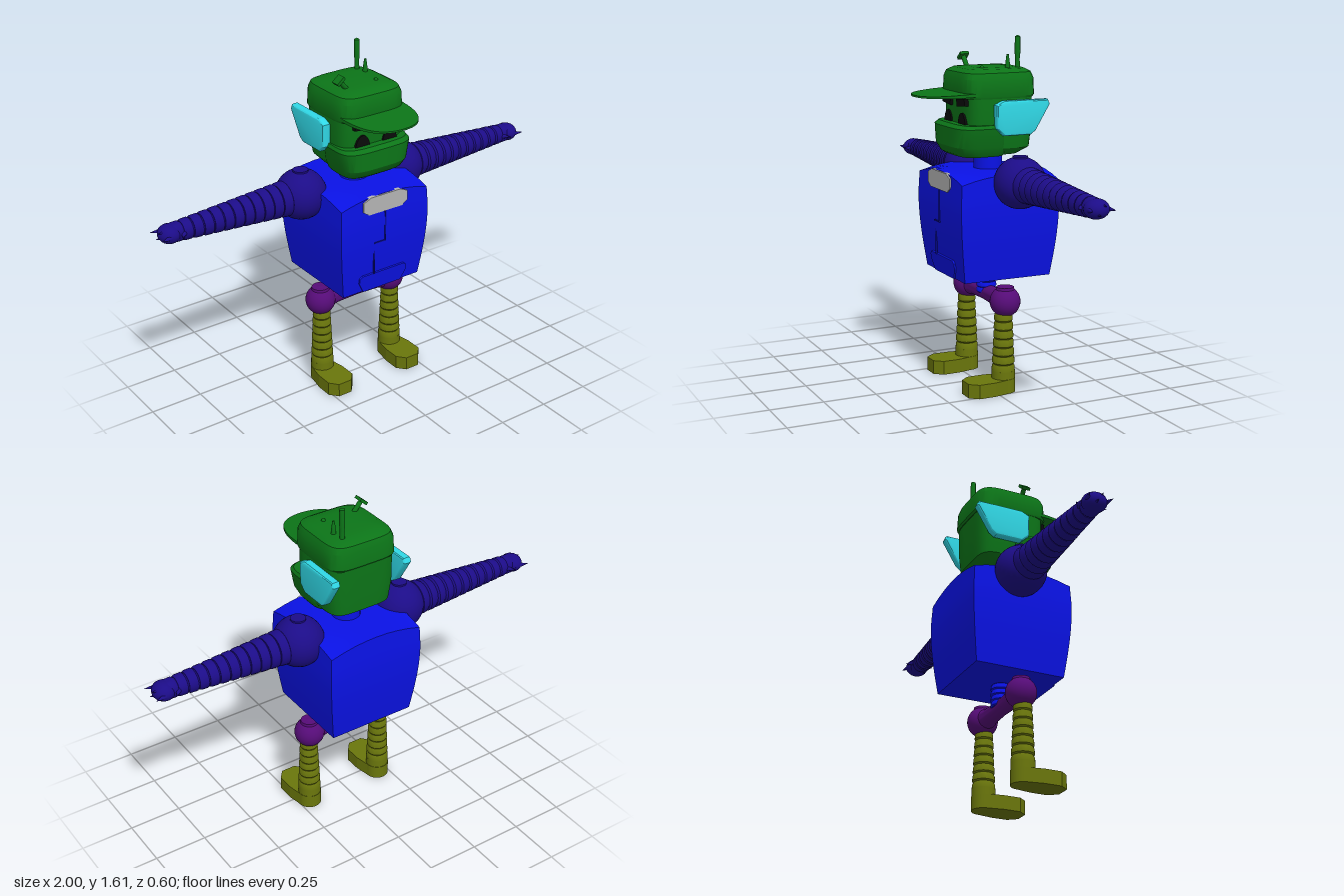
import * as THREE from 'three';
import { toCreasedNormals } from 'three/addons/utils/BufferGeometryUtils.js';

const mat = (color) => new THREE.MeshStandardMaterial({ color });
const GREEN = mat(0x0c7518), BLUE = mat(0x0a12e6), DARKBLUE = mat(0x080ca0), INDIGO = mat(0x1c0c88),
  PURPLE = mat(0x560c78), OLIVE = mat(0x6a760c), CYAN = mat(0x30d8e6), GREY = mat(0xb4b4b4), BLACK = mat(0x0a0a0a);

function add(parent, name, geometry, material, x = 0, y = 0, z = 0) {
  const m = new THREE.Mesh(geometry, material);
  m.name = name;
  m.position.set(x, y, z);
  parent.add(m);
  return m;
}

const lathe = (pts, sides = 28) => toCreasedNormals(
  new THREE.LatheGeometry(pts.map(([r, y]) => new THREE.Vector2(r, y)), sides), 0.6);

// Stack of rounded-square sections: rows of [y, halfX, zBack, zFront], bottom to top
function loft(rows, power = 5, n = 56) {
  const pos = [], idx = [];
  const put = (y, hx, z0, z1, k) => {
    for (let i = 0; i < n; i++) {
      const a = (i / n) * Math.PI * 2, c = Math.cos(a), s = Math.sin(a);
      const f = k / Math.pow(Math.abs(c) ** power + Math.abs(s) ** power, 1 / power);
      pos.push(hx * c * f, y, (z0 + z1) / 2 + ((z1 - z0) / 2) * s * f);
    }
  };
  const all = [[...rows[0], 0], ...rows.map((r) => [...r, 1]), [...rows[rows.length - 1], 0]];
  all.forEach((r) => put(...r));
  for (let j = 0; j < all.length - 1; j++) for (let i = 0; i < n; i++) {
    const a = j * n + i, b = j * n + ((i + 1) % n);
    idx.push(a, a + n, b, b, a + n, b + n);
  }
  const g = new THREE.BufferGeometry();
  g.setAttribute('position', new THREE.Float32BufferAttribute(pos, 3));
  g.setIndex(idx);
  return toCreasedNormals(g, 0.5);
}

// Flexible hose: a tapering chain of ribs along +y
function hose(length, r0, r1, ribs) {
  const pts = [[0, 0]], step = length / ribs;
  for (let i = 0; i < ribs; i++) {
    const r = r0 + ((r1 - r0) * i) / (ribs - 1), y = i * step;
    pts.push([r * 0.88, y], [r, y + step * 0.18], [r * 0.98, y + step * 0.75], [r * 0.88, y + step]);
  }
  pts.push([0, length]);
  return lathe(pts);
}

function extrude(points, depth, bevel = 0) {
  const shape = new THREE.Shape(points.map(([x, y]) => new THREE.Vector2(x, y)));
  return new THREE.ExtrudeGeometry(shape, {
    depth, bevelEnabled: bevel > 0, bevelSize: bevel, bevelThickness: bevel, bevelOffset: -bevel, bevelSegments: 3,
  });
}

// Bulging square torso with lowered top corners
function torsoGeometry() {
  const g = new THREE.BoxGeometry(2, 0.48, 2, 8, 12, 8), p = g.attributes.position;
  for (let i = 0; i < p.count; i++) {
    const t = p.getY(i) / 0.48 + 0.5;
    const w = 0.212 + 0.03 * Math.sin(Math.min(1, t / 0.72) * Math.PI / 2) - 0.02 * Math.max(0, t - 0.75);
    const corner = (p.getX(i) * p.getZ(i)) ** 2;
    p.setXYZ(i, p.getX(i) * w * 0.99, 0.525 + 0.48 * t - 0.035 * corner * t ** 4, p.getZ(i) * w);
  }
  return toCreasedNormals(g, 0.5);
}

function buildTorso(root) {
  const g = new THREE.Group();
  g.name = 'torso';
  root.add(g);
  add(g, 'torsoShell', torsoGeometry(), BLUE, 0, 0, -0.06);
  add(g, 'neck', new THREE.CylinderGeometry(0.065, 0.065, 0.12, 28), BLUE, 0, 1.04, -0.06);
  add(g, 'waist', hose(0.13, 0.046, 0.046, 5), BLUE, 0, 0.42, -0.055);
  add(g, 'collarPlate', extrude([[-0.12, 0.94], [-0.09, 0.92], [0.09, 0.92], [0.12, 0.94], [0.12, 0.985],
    [0.08, 1.003], [-0.08, 1.003], [-0.12, 0.985]], 0.02), GREY, 0, 0, 0.165);
  // Front seams
  for (const [x, y, w, h, z] of [[0, 0.845, 0.006, 0.15, 0.182], [-0.027, 0.77, 0.06, 0.006, 0.18], [-0.055, 0.69, 0.006, 0.16, 0.173]])
    add(g, 'doorSeam', new THREE.BoxGeometry(w, h, 0.006), DARKBLUE, x, y, z);
  const hatch = add(g, 'frontHatch', extrude([[-0.105, 0], [0.105, 0], [0.13, 0.05], [0.13, 0.075], [0.115, 0.088],
    [-0.115, 0.088], [-0.13, 0.075], [-0.13, 0.05]], 0.014), BLUE, 0, 0.527, 0.145);
  hatch.rotation.x = 0.15;
}

function buildArm(root, side) {
  const g = new THREE.Group();
  g.name = side > 0 ? 'leftArm' : 'rightArm';
  g.position.set(side * 0.27, 0.972, -0.088);
  g.rotation.z = -side * Math.PI / 2;
  root.add(g);
  add(g, 'shoulder', new THREE.SphereGeometry(0.117, 32, 20), INDIGO);
  add(g, 'shoulderCap', new THREE.CylinderGeometry(0.035, 0.035, 0.01, 20), INDIGO, -side * 0.114, 0, 0).rotation.z = Math.PI / 2;
  add(g, 'armHose', hose(0.58, 0.081, 0.045, 12), INDIGO, 0, 0.08, 0);
  const hand = add(g, 'hand', new THREE.SphereGeometry(0.05, 20, 14), INDIGO, 0, 0.665, 0);
  hand.scale.set(0.85, 1, 1.1);
  // Claw fingers
  for (const s of [-1, 1]) {
    add(g, 'claw', new THREE.ConeGeometry(0.018, 0.075, 10), INDIGO, 0, 0.692, s * 0.045).rotation.x = s * 0.25;
    add(g, 'knuckle', new THREE.ConeGeometry(0.014, 0.05, 10), INDIGO, s * 0.018, 0.7, s * 0.012);
    add(g, 'thumb', new THREE.ConeGeometry(0.014, 0.05, 10), INDIGO, 0, 0.625, s * 0.052).rotation.x = s * 0.9;
  }
}

function buildLeg(root, side) {
  const g = new THREE.Group();
  g.name = side > 0 ? 'leftLeg' : 'rightLeg';
  g.position.set(side * 0.197, 0, -0.045);
  root.add(g);
  add(g, 'hip', new THREE.SphereGeometry(0.07, 28, 18), PURPLE, 0, 0.42, -0.008);
  add(g, 'hipCap', new THREE.CylinderGeometry(0.04, 0.045, 0.03, 24), PURPLE, 0, 0.473, -0.008);
  add(g, 'legHose', hose(0.28, 0.053, 0.042, 7), OLIVE, 0, 0.09, 0);
  add(g, 'ankle', new THREE.CylinderGeometry(0.053, 0.055, 0.1, 28), OLIVE, 0, 0.05, 0);
  // Foot with a rounded heel and cut toe corners
  const s = new THREE.Shape();
  s.moveTo(0.055, 0);
  s.absarc(0, 0, 0.055, 0, Math.PI, false);
  for (const [x, y] of [[-0.068, -0.07], [-0.068, -0.15], [-0.035, -0.19], [0.035, -0.19], [0.068, -0.15], [0.068, -0.07]]) s.lineTo(x, y);
  const foot = new THREE.ExtrudeGeometry(s, { depth: 0.065, bevelEnabled: false, curveSegments: 16 });
  foot.rotateX(-Math.PI / 2);
  add(g, 'foot', foot, OLIVE);
}

function buildHead(root) {
  const g = new THREE.Group();
  g.name = 'head';
  g.position.x = 0.004;
  root.add(g);
  add(g, 'skull', loft([[1.08, 0.13, -0.16, 0.08], [1.11, 0.155, -0.215, 0.09], [1.2, 0.168, -0.222, 0.1],
    [1.35, 0.167, -0.225, 0.1]]), GREEN);
  add(g, 'jaw', loft([[1.075, 0.145, -0.09, 0.12], [1.085, 0.152, -0.1, 0.135], [1.12, 0.168, -0.1, 0.155],
    [1.205, 0.184, -0.09, 0.155], [1.22, 0.176, -0.08, 0.135]], 4), GREEN);
  add(g, 'cap', loft([[1.335, 0.168, -0.228, 0.112], [1.345, 0.172, -0.235, 0.115], [1.42, 0.168, -0.232, 0.113],
    [1.447, 0.157, -0.222, 0.103], [1.462, 0.13, -0.195, 0.076], [1.466, 0.08, -0.14, 0.03]]), GREEN);
  // Visor, curving down at the sides and thinning to the tip
  const s = new THREE.Shape();
  s.moveTo(-0.165, 0.07);
  s.bezierCurveTo(-0.165, 0.2, -0.13, 0.3, 0, 0.3);
  s.bezierCurveTo(0.13, 0.3, 0.165, 0.2, 0.165, 0.07);
  const visor = new THREE.ExtrudeGeometry(s, { depth: 0.016, bevelEnabled: false, curveSegments: 20 });
  visor.rotateX(Math.PI / 2);
  const p = visor.attributes.position;
  for (let i = 0; i < p.count; i++) {
    const t = (p.getZ(i) - 0.07) / 0.23;
    p.setY(i, 1.362 + p.getY(i) * (1 - 0.5 * t) - 0.012 * t);
  }
  add(g, 'visor', toCreasedNormals(visor, 0.5), GREEN);
  for (const side of [-1, 1]) {
    // Eyes and slanted brows
    const eye = new THREE.Shape();
    eye.absellipse(0, 0, 0.04, 0.07, 0, Math.PI, false);
    add(g, 'eye', new THREE.ExtrudeGeometry(eye, { depth: 0.02, bevelEnabled: false }), BLACK, side * 0.073, 1.2, 0.087);
    add(g, 'brow', new THREE.BoxGeometry(0.085, 0.033, 0.03), BLACK, side * 0.075, 1.315, 0.098).rotation.z = side * 0.1;
    // Ear plates
    const ear = extrude([[-0.005, 1.31], [-0.045, 1.328], [-0.26, 1.328], [-0.27, 1.305], [-0.2, 1.19],
      [-0.175, 1.172], [-0.045, 1.172], [-0.008, 1.205]], 0.018, 0.012);
    ear.rotateY(-Math.PI / 2);
    add(g, 'ear', toCreasedNormals(ear, 0.4), CYAN, side > 0 ? 0.193 : -0.175);
  }
  // Antennas and small fittings on the cap
  add(g, 'tallAntenna', lathe([[0, 0], [0.012, 0], [0.01, 0.05], [0.013, 0.08], [0.012, 0.15], [0, 0.157]], 14), GREEN, 0.087, 1.45, -0.163);
  add(g, 'shortAntenna', lathe([[0, 0], [0.013, 0], [0.01, 0.04], [0.005, 0.078], [0, 0.08]], 14), GREEN, 0.095, 1.445, -0.11);
  add(g, 'capButton', new THREE.SphereGeometry(0.01, 12, 8), GREEN, 0.07, 1.465, 0.005);
  const lever = new THREE.Group();
  lever.name = 'lever';
  lever.position.set(-0.085, 1.455, 0.005);
  lever.rotation.z = 0.7;
  g.add(lever);
  add(lever, 'leverStem', new THREE.CylinderGeometry(0.011, 0.011, 0.07, 12), GREEN, 0, 0.03, 0);
  add(lever, 'leverHead', new THREE.BoxGeometry(0.045, 0.014, 0.042), GREEN, 0, 0.066, 0);
}

export function createModel() {
  const root = new THREE.Group();
  root.name = 'robot';
  buildTorso(root);
  buildHead(root);
  const bar = lathe([[0.055, -0.18], [0.04, -0.12], [0.036, 0], [0.04, 0.12], [0.055, 0.18]]);
  add(root, 'pelvisBar', bar, PURPLE, 0, 0.42, -0.053).rotation.z = Math.PI / 2;
  for (const side of [-1, 1]) {
    buildArm(root, side);
    buildLeg(root, side);
  }
  return root;
}
